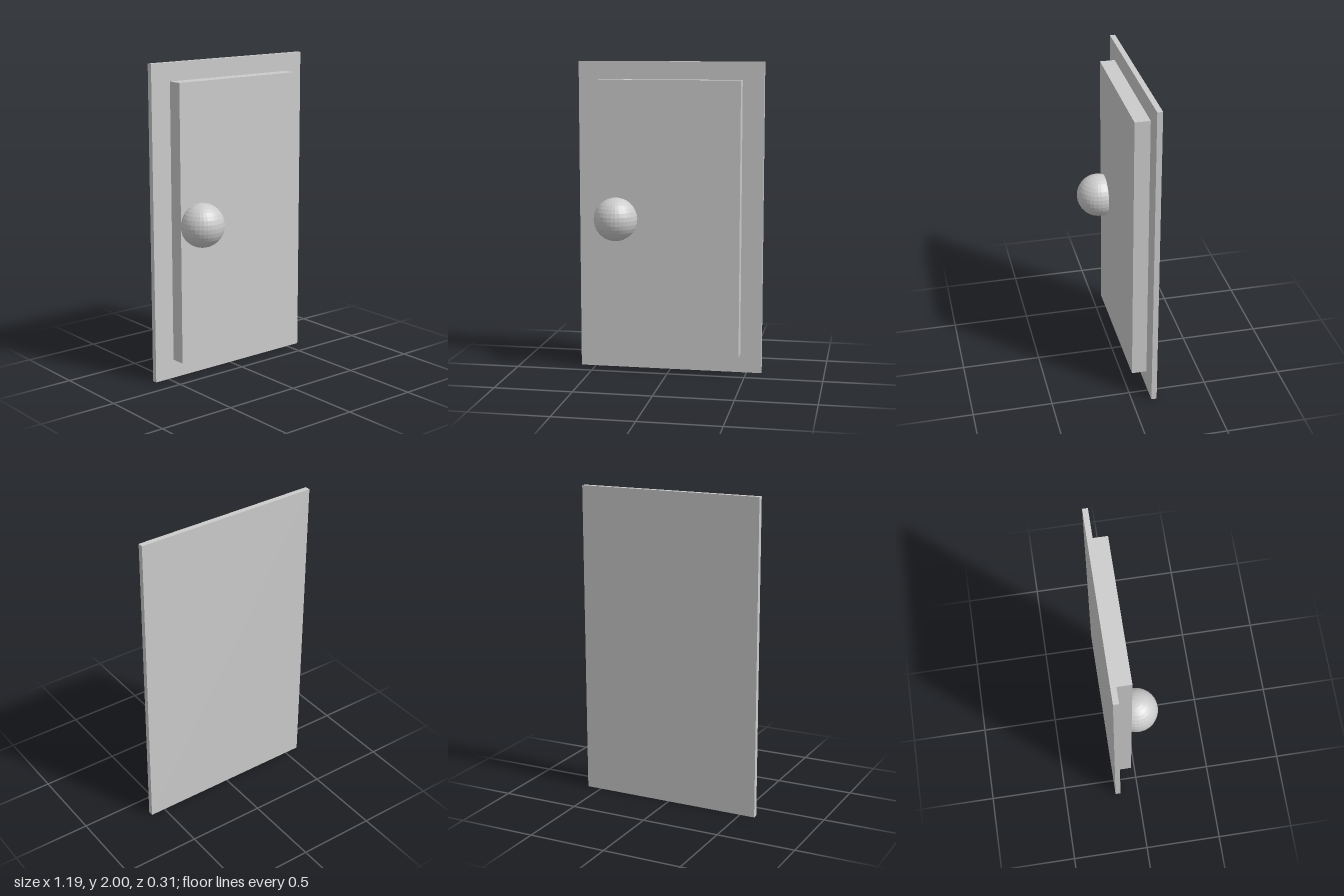
import * as THREE from 'three';

export function createModel() {
  const model = new THREE.Group();
  model.name = 'door';

  const paleGrey = new THREE.MeshStandardMaterial({ color: 0xcccccc, flatShading: true });
  paleGrey.name = 'paleGrey';

  const add = (name, geometry, x, y, z) => {
    const mesh = new THREE.Mesh(geometry, paleGrey);
    mesh.name = name;
    mesh.position.set(x, y, z);
    model.add(mesh);
  };

  // Thin backing slab, raised panel on its front, and the round knob
  add('doorSlab', new THREE.BoxGeometry(1.194, 2, 0.034), 0, 1, -0.14);
  add('raisedPanel', new THREE.BoxGeometry(0.92, 1.765, 0.095), 0, 1.003, -0.0755);
  add('knob', new THREE.SphereGeometry(0.139, 32, 16), -0.33, 1.003, 0.018);

  return model;
}
